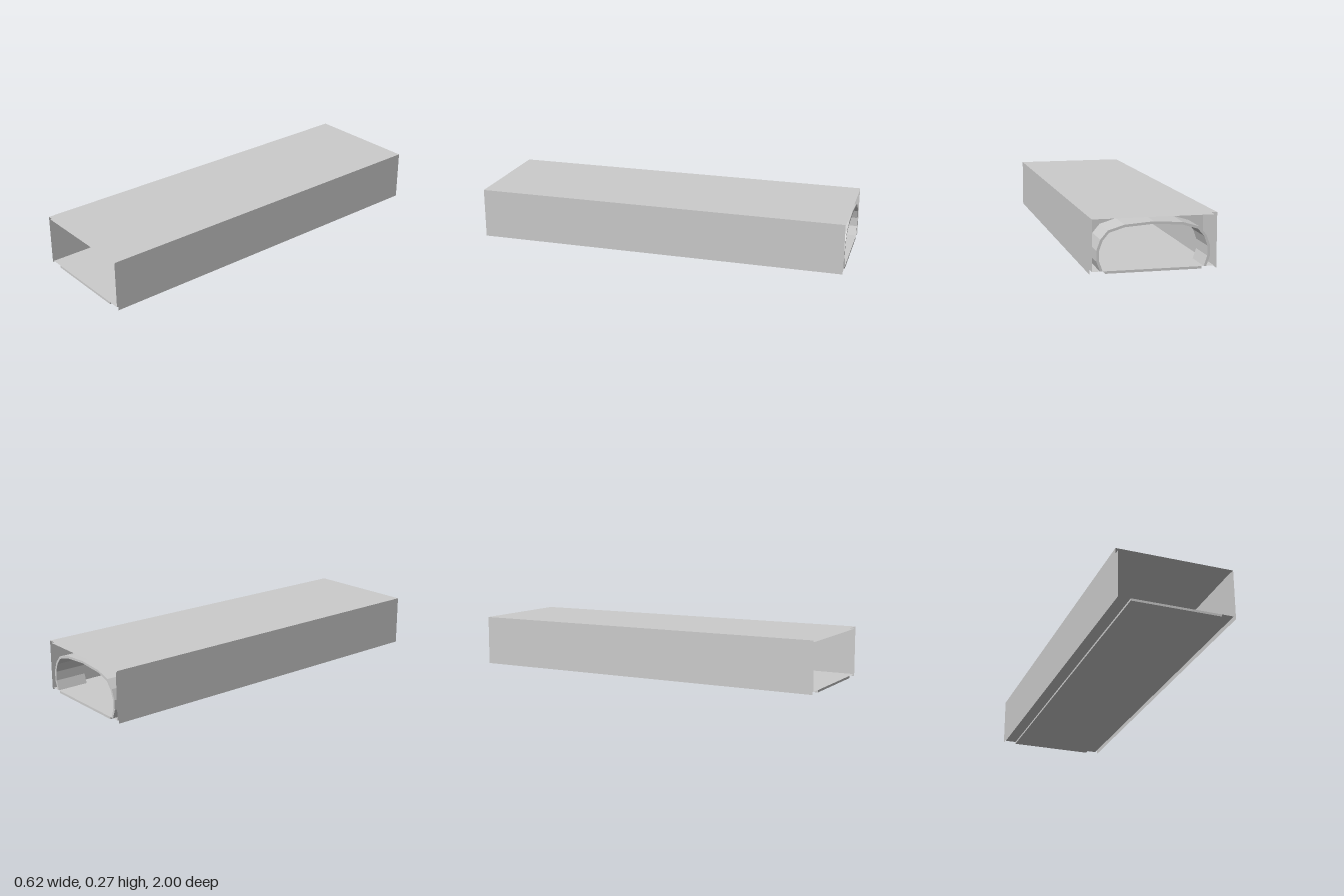
import * as THREE from 'three';

const LENGTH = 2;
const WALL = 0.012;
const OUT = { x: 0.31, y0: 0, y1: 0.27 };          // outer skin
const INN = { x: 0.298, y0: WALL, y1: 0.26 };      // inner lining
const BULKHEAD_Z = -0.83;

// Right half of the opening, foot to crown
const HALF_ARCH = [[0.247, 0.012], [0.264, 0.062], [0.264, 0.11], [0.247, 0.157], [0.216, 0.194], [0.14, 0.217], [0, 0.227]];
const HALF_RIM = [[0.259, 0.012], [0.277, 0.06], [0.277, 0.112], [0.258, 0.163], [0.222, 0.205], [0.142, 0.229], [0, 0.239]];

// Full arch from right foot over the crown to left foot
function fullArch(half) {
  const mirrored = half.slice(0, -1).reverse().map(([x, y]) => [-x, y]);
  return [...half, ...mirrored].map(([x, y]) => new THREE.Vector2(x, y));
}

export function createModel() {
  const group = new THREE.Group();
  const solid = new THREE.MeshStandardMaterial({ color: 0xcccccc, flatShading: true });
  const sheet = new THREE.MeshStandardMaterial({ color: 0xcccccc, side: THREE.DoubleSide });

  const add = (name, geometry, material) => {
    const mesh = new THREE.Mesh(geometry, material);
    mesh.name = name;
    group.add(mesh);
    return mesh;
  };
  const level = (name, halfWidth, y) =>
    add(name, new THREE.PlaneGeometry(2 * halfWidth, LENGTH).rotateX(-Math.PI / 2).translate(0, y, 0), sheet);
  const wall = (name, x, y0, y1) =>
    add(name, new THREE.PlaneGeometry(LENGTH, y1 - y0)
      .rotateY(Math.sign(x) * Math.PI / 2).translate(x, (y0 + y1) / 2, 0), sheet);

  // Outer skin and inner lining, both open at the ends
  for (const [side, s] of [['left', 1], ['right', -1]]) {
    wall(side + 'OuterWall', s * OUT.x, OUT.y0, OUT.y1);
    wall(side + 'InnerWall', s * INN.x, INN.y0, INN.y1);
  }
  level('roof', OUT.x, OUT.y1);
  level('ceiling', INN.x, INN.y1);
  level('floor', INN.x, INN.y0);

  // Raised strip under the floor
  add('basePlate', new THREE.BoxGeometry(0.47, WALL, LENGTH).translate(0, WALL / 2, 0), solid);

  // Bulkhead: rectangle with the arched opening cut out
  const arch = fullArch(HALF_ARCH);
  const bulkhead = new THREE.Shape([
    new THREE.Vector2(INN.x, INN.y0), new THREE.Vector2(INN.x, INN.y1),
    new THREE.Vector2(-INN.x, INN.y1), new THREE.Vector2(-INN.x, INN.y0),
    ...arch.slice().reverse(),
  ]);
  add('bulkhead', new THREE.ShapeGeometry(bulkhead).translate(0, 0, BULKHEAD_Z), sheet);

  // Arched collar from the bulkhead to the back end
  const collar = new THREE.Shape([...fullArch(HALF_RIM), ...arch.slice().reverse()]);
  add('archCollar', new THREE.ExtrudeGeometry(collar, { depth: 1 + BULKHEAD_Z, bevelEnabled: false })
    .translate(0, 0, -1), solid);

  return group;
}
